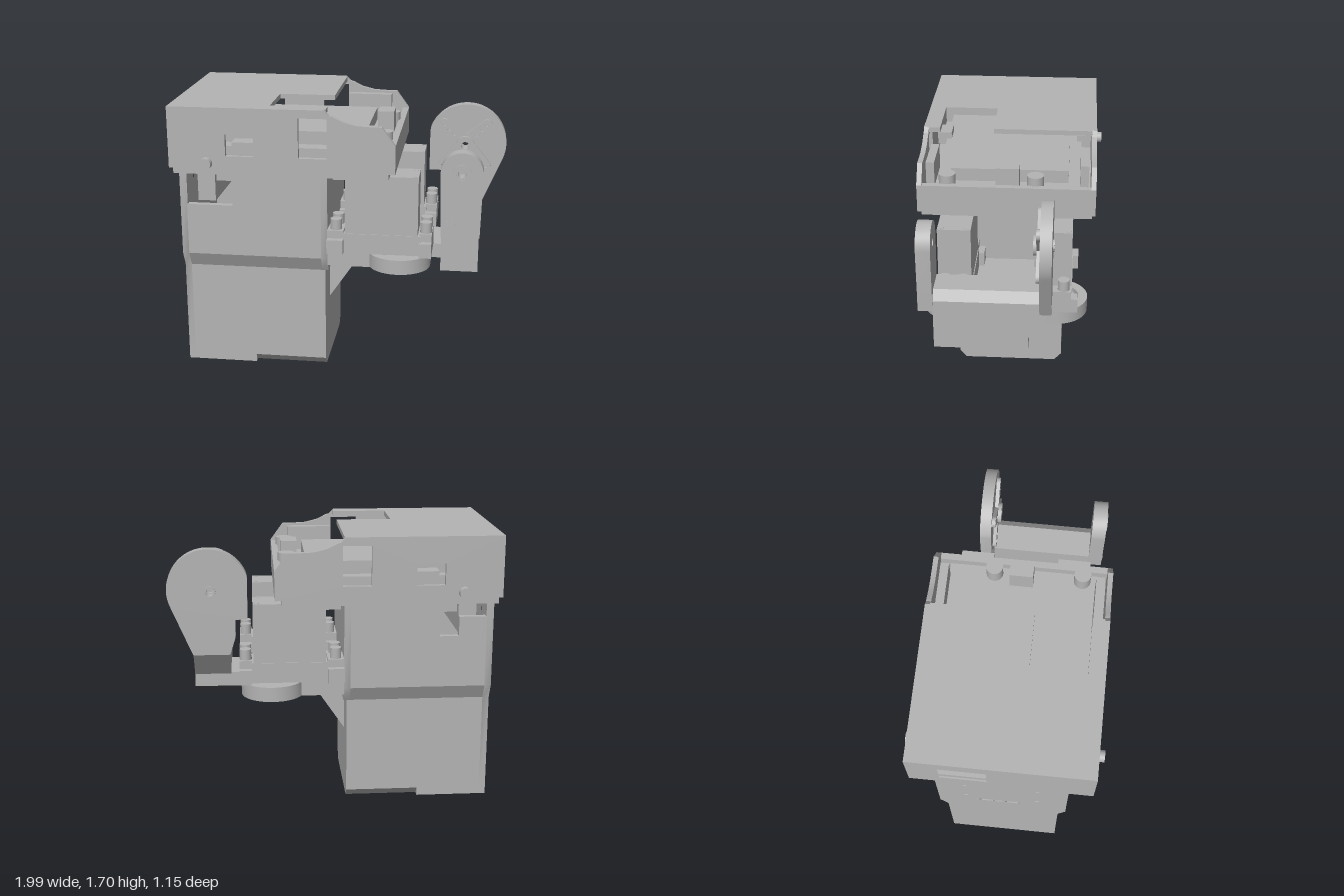
import * as THREE from 'three';
import { toCreasedNormals } from 'three/addons/utils/BufferGeometryUtils.js';

const grey = new THREE.MeshStandardMaterial({ color: 0xb4b4b4 });
grey.name = 'plain grey';

export function createModel() {
  const root = new THREE.Group();
  root.name = 'servoHead';

  const add = (name, geo) => {
    const m = new THREE.Mesh(geo, grey);
    m.name = name;
    root.add(m);
    return m;
  };
  const box = (name, x0, x1, y0, y1, z0, z1) =>
    add(name, new THREE.BoxGeometry(x1 - x0, y1 - y0, z1 - z0)
      .translate((x0 + x1) / 2, (y0 + y1) / 2, (z0 + z1) / 2));
  // cylinder along 'x', 'y' or 'z'
  const rod = (name, axis, r, len, x, y, z) => {
    const g = new THREE.CylinderGeometry(r, r, len, 32);
    if (axis === 'x') g.rotateZ(Math.PI / 2);
    if (axis === 'z') g.rotateX(Math.PI / 2);
    return add(name, g.translate(x, y, z));
  };
  const circle = (x, y, r, a0 = 0, a1 = 2 * Math.PI, n = 32) =>
    Array.from({ length: n + 1 }, (_, i) => {
      const a = a0 + (a1 - a0) * i / n;
      return [x + r * Math.cos(a), y + r * Math.sin(a)];
    });
  const rect = (x0, x1, y0, y1) => [[x0, y0], [x1, y0], [x1, y1], [x0, y1]];
  const extrude = (pts, depth, holes, sx = 1) => {
    const v = (list) => list.map(([a, b]) => new THREE.Vector2(sx * a, b));
    const s = new THREE.Shape(v(pts));
    holes.forEach((h) => s.holes.push(new THREE.Path(v(h))));
    return toCreasedNormals(new THREE.ExtrudeGeometry(s, { depth, bevelEnabled: false }), 0.5);
  };
  // slabs drawn as (x,y), (z,y) and (x,z) outlines
  const slabZ = (name, pts, z0, z1, holes = []) =>
    add(name, extrude(pts, z1 - z0, holes).translate(0, 0, z0));
  const slabX = (name, pts, x0, x1, holes = []) =>
    add(name, extrude(pts, x1 - x0, holes, -1).rotateY(Math.PI / 2).translate(x0, 0, 0));
  const slabY = (name, pts, y0, y1, holes = []) =>
    add(name, extrude(pts, y1 - y0, holes).rotateX(Math.PI / 2).translate(0, y1, 0));

  // ---- neck: lower block with chamfered bottom corners ----
  box('lowerBody', -0.94, -0.54, 0, 0.65, -0.345, 0.345);
  slabX('lowerBodyFront', [[-0.3, 0], [0.3, 0], [0.345, 0.05], [0.345, 0.65], [-0.345, 0.65], [-0.345, 0.05]], -0.54, -0.09);

  // ---- neck: hollow upper part ----
  const backHoles = [-0.18, -0.02, 0.14].map((z) => circle(z, 0.735, 0.043));
  backHoles.push(rect(-0.16, 0.11, 0.845, 0.875));
  for (const z of [-0.22, 0.21]) for (const y of [0.95, 1.19]) backHoles.push(circle(z, y, 0.012, 0, 2 * Math.PI, 12));
  slabX('backWall', [[-0.345, 0], [0.345, 0], [0.345, 0.65], [0.39, 0.74], [0.39, 1.29],
    [-0.39, 1.29], [-0.39, 0.74], [-0.345, 0.65]], -0.98, -0.94, backHoles);
  slabX('frontWall', [[-0.345, 0.65], [0.345, 0.65], [0.39, 0.74], [0.39, 1.29], [-0.39, 1.29], [-0.39, 0.74]], -0.11, -0.07);
  for (const s of [1, -1]) {
    slabX('flaredEdge', [[0.345, 0.65], [0.39, 0.74], [0.35, 0.74], [0.3, 0.65]].map(([z, y]) => [s * z, y]), -0.94, -0.11);
  }
  slabZ('leftPanel', rect(-0.94, -0.11, 0.74, 1.29), 0.35, 0.39, [rect(-0.935, -0.655, 1.06, 1.255)]);
  slabZ('rightPanel', rect(-0.94, -0.11, 0.74, 1.29), -0.39, -0.35,
    [[[-0.77, 1.06], [-0.655, 1.06], [-0.655, 1.275], [-0.935, 1.275], [-0.935, 1.18], [-0.77, 1.18]]]);
  box('innerBracket', -0.89, -0.78, 1.06, 1.255, -0.3, 0.3);
  box('innerShelf', -0.77, -0.655, 1.19, 1.255, -0.3, 0.3);

  // ---- head enclosure ----
  slabY('headPlate', rect(-0.98, 0.31, -0.51, 0.51), 1.29, 1.33);
  box('headFloor', -0.97, 0.31, 1.33, 1.37, -0.5, 0.5);
  const side = [[-1, 1.33], [0.35, 1.33], [0.35, 1.5], [0.27, 1.61], [0.22, 1.61], [0.12, 1.615],
    [0.04, 1.635], [-0.02, 1.665], [-0.04, 1.67], [-0.07, 1.7], [-1, 1.7]];
  for (const s of [1, -1]) {
    slabZ('headSide', side, s > 0 ? 0.5 : -0.53, s > 0 ? 0.53 : -0.5,
      [rect(-0.22, -0.05, 1.41, 1.65), rect(-0.655, -0.485, 1.41, 1.54)]);
    box('sideConnector', -0.62, -0.485, 1.41, 1.49, s * 0.46 - 0.05, s * 0.46 + 0.05);
    box('sideRail', -0.04, 0.24, 1.37, 1.6, s * 0.46 - 0.025, s * 0.46 + 0.025);
    rod('sideKnob', 'z', 0.035, 0.05, -0.77, 1.365, s * 0.55);
  }
  slabX('headBack', rect(-0.5, 0.5, 1.33, 1.67), -1, -0.97, [rect(-0.35, -0.08, 1.42, 1.6)]);
  slabY('headTop', [[-1, -0.5], [-0.06, -0.5], [-0.06, 0.1], [-0.4, 0.1], [-0.4, 0.43], [-0.06, 0.43], [-0.06, 0.5], [-1, 0.5]], 1.67, 1.7);
  box('headFront', 0.31, 0.35, 1.33, 1.5, -0.5, 0.5);

  // electronics in the open tray
  box('circuitBoard', -0.9, 0.31, 1.37, 1.45, -0.44, 0.44);
  box('boardCover', -0.7, 0.155, 1.45, 1.53, -0.365, 0.345);
  box('trayConnector', 0.2, 0.3, 1.45, 1.6, -0.075, 0.065);
  box('backConnector', -0.96, -0.7, 1.45, 1.5, -0.3, -0.12);
  for (const z of [-0.17, 0.355]) rod('boardPost', 'y', 0.05, 0.1, 0.27, 1.5, z);

  // ---- servo shelf with two ring openings ----
  const half = [[-0.07, 0.39], [0.19, 0.39],
    ...circle(0.365, 0.31, 0.19, 2.72, 0, 24), [0.555, 0.165], [0.62, 0.165]];
  const shelf = [...half, ...half.map(([x, z]) => [x, -z]).reverse()];
  slabY('servoShelf', shelf, 0.7, 0.79,
    [circle(0.365, 0.31, 0.135), circle(0.365, -0.31, 0.135), rect(0.34, 0.46, -0.085, 0.085)]);
  slabZ('shelfBrace', [[-0.09, 0.4], [0.08, 0.65], [0.08, 0.7], [-0.09, 0.7]], -0.15, 0.15);
  box('cableBlock', -0.07, 0.04, 1.18, 1.29, -0.16, 0.16);

  // ---- two upright servos ----
  for (const s of [1, -1]) {
    const zBox = (name, x0, x1, y0, y1, w) => box(name, x0, x1, y0, y1, s * 0.3 - w, s * 0.3 + w);
    zBox('servoCase', 0.04, 0.48, 0.91, 1.28, 0.1);
    zBox('servoBase', 0.03, 0.5, 0.79, 0.915, 0.105);
    for (const [x0, x1] of [[-0.07, 0.03], [0.49, 0.565]]) {
      zBox('servoCradle', x0, x1, 0.79, 0.88, 0.14);
      zBox('servoEar', x0, x1, 0.88, 0.93, 0.1);
      for (const dz of [-0.055, 0.055]) rod('earScrew', 'y', 0.035, 0.07, (x0 + x1) / 2, 0.96, s * 0.3 + dz);
    }
    for (const x of [0.065, 0.455]) for (const dz of [-0.075, 0.075]) {
      rod('caseScrew', 'y', 0.015, 0.012, x, 1.276, s * 0.3 + dz);
    }
    rod('servoHorn', 'y', 0.115, 0.03, 0.365, 0.765, s * 0.31);
    rod('servoShaft', 'y', 0.04, 0.05, 0.365, 0.74, s * 0.31);
  }

  // ---- tilt bracket ----
  slabX('bracketBeam', [[0.39, 0.7], [-0.16, 0.7], [-0.16, 0.78], [-0.285, 0.95], [-0.22, 1.01], [0.39, 1.01]], 0.62, 0.845);
  slabZ('bracketRidge', [[0.62, 1.01], [0.845, 1.01], [0.79, 1.06], [0.62, 1.06]], -0.22, 0.39);

  // small upright with pivot
  slabZ('smallUpright', [[0.62, 0.945], [0.85, 0.945], ...circle(0.735, 1.335, 0.125, 0, Math.PI, 24)], 0.39, 0.475,
    [circle(0.735, 1.335, 0.025)]);
  slabZ('pivotRing', circle(0.735, 1.335, 0.055), 0.475, 0.482, [circle(0.735, 1.335, 0.035)]);
  for (const x of [0.67, 0.805]) rod('uprightScrew', 'z', 0.037, 0.01, x, 1.01, 0.474);

  // large disc plate
  slabZ('largeDisc', [[0.62, 0.94], [0.845, 0.94], ...circle(0.745, 1.345, 0.25, -0.43, 2.75, 40),
    [0.51, 1.42], [0.51, 1.16], [0.585, 1.16], [0.585, 1.05]], -0.29, -0.222, [circle(0.735, 1.335, 0.03)]);

  // cross-shaped horn on the disc
  for (let i = 0; i < 4; i++) {
    const arm = slabZ('hornArm', [[0.04, -0.05], ...circle(0.19, 0, 0.033, -Math.PI / 2, Math.PI / 2, 12), [0.04, 0.05]],
      -0.222, -0.2, [0.1, 0.145, 0.19].map((x) => circle(x, 0, 0.012, 0, 2 * Math.PI, 12)));
    arm.rotation.z = Math.PI / 4 + i * Math.PI / 2;
    arm.position.set(0.735, 1.335, 0);
  }
  slabZ('hornHub', circle(0.735, 1.335, 0.06), -0.222, -0.18, [circle(0.735, 1.335, 0.025)]);
  slabZ('hornBoss', circle(0.735, 1.335, 0.035), -0.3, -0.288, [circle(0.735, 1.335, 0.025)]);

  return root;
}
